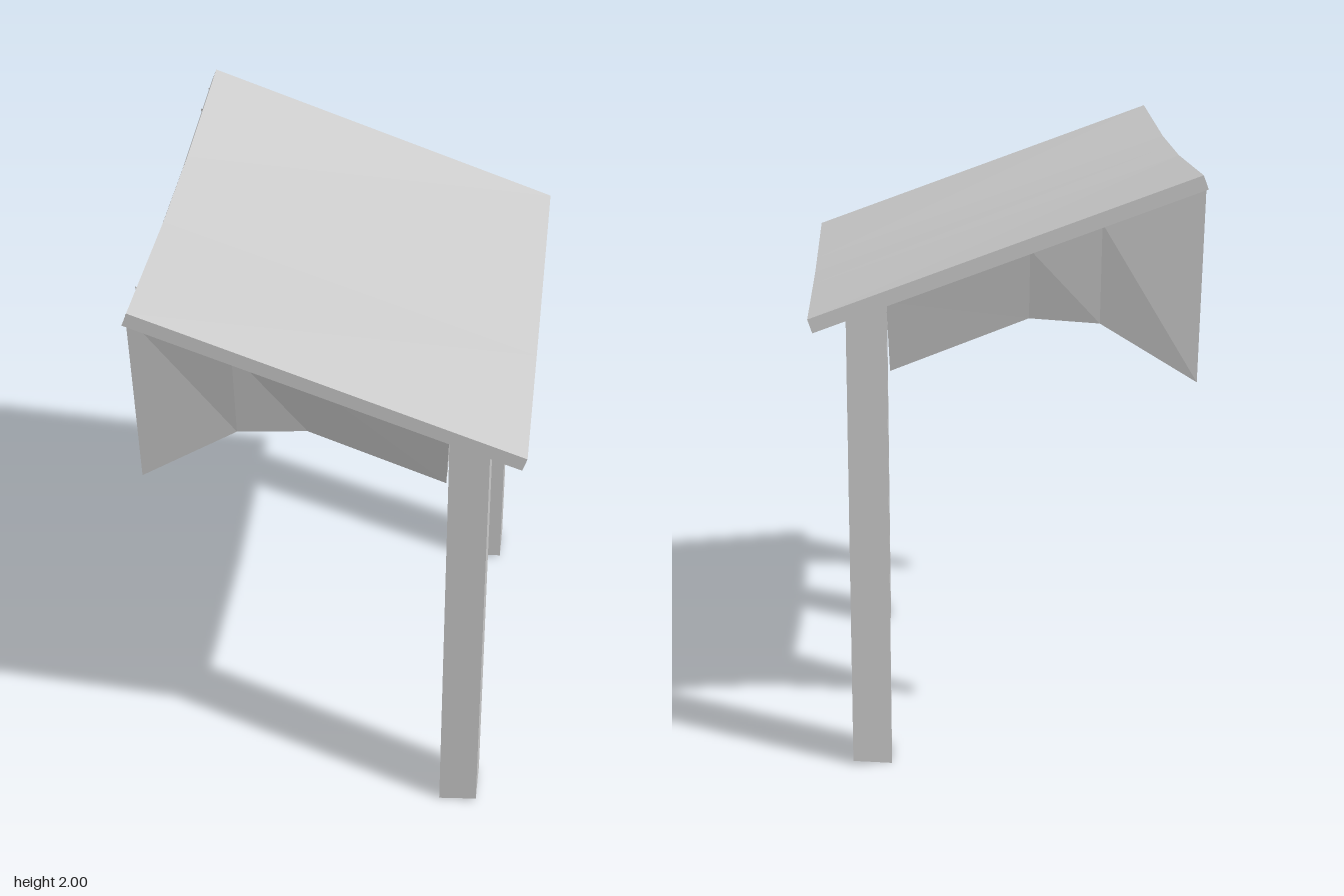
import * as THREE from 'three';

// Skins a row of cross-sections with flat quads; each section runs counter-clockwise
// as seen looking back along the row.
function loft(rings, { closed = true, caps = false } = {}) {
  const pos = [];
  const quad = (a, b, c, d) => pos.push(...a, ...b, ...c, ...a, ...c, ...d);
  for (let i = 0; i < rings.length - 1; i++) {
    const a = rings[i], b = rings[i + 1], n = a.length;
    for (let j = 0; j < (closed ? n : n - 1); j++) {
      const k = (j + 1) % n;
      quad(a[j], a[k], b[k], b[j]);
    }
  }
  if (caps) {
    quad(...[...rings[0]].reverse());
    quad(...rings[rings.length - 1]);
  }
  const geo = new THREE.BufferGeometry();
  geo.setAttribute('position', new THREE.Float32BufferAttribute(pos, 3));
  geo.computeVertexNormals();
  return geo;
}

export function createModel() {
  const model = new THREE.Group();
  const solid = new THREE.MeshStandardMaterial({ color: 0xcccccc, flatShading: true });
  const shell = new THREE.MeshStandardMaterial({ color: 0xcccccc, flatShading: true, side: THREE.DoubleSide });
  const add = (name, geo, mat, z = 0) => {
    const mesh = new THREE.Mesh(geo, mat);
    mesh.name = name;
    mesh.position.z = z;
    model.add(mesh);
  };

  // Sloping roof slab: [z, sag at high edge, sag at low edge]
  const stations = [[-0.85, 0, 0], [-0.23, 0.03, 0.015], [0, 0.03, 0.02], [0.23, 0.03, 0.015], [0.85, 0, 0]];
  add('roof', loft(stations.map(([z, high, low]) => [
    [-0.637, 1.955 - high, z], [0.615, 1.505 - low, z],
    [0.63, 1.55 - low, z], [-0.62, 2 - high, z],
  ]), { caps: true }), solid);

  // Post: open-ended square tube, top cut to the roof slope
  const postRing = (yLeft, yRight) => [
    [0.38, yLeft, 0.083], [0.51, yRight, 0.083], [0.51, yRight, -0.083], [0.38, yLeft, -0.083],
  ];
  const post = loft([postRing(0, 0.01), postRing(1.585, 1.54)]);

  // Bracket: hollow trough tapering to a narrow bottom edge; [top x, bottom x, bottom y]
  const topY = (x) => 1.955 - (x + 0.637) * 0.36;
  const bracketRows = [[-0.639, -0.63, 1.3], [-0.31, -0.31, 1.5], [-0.08, -0.08, 1.52], [0.38, 0.37, 1.35]];
  const bracket = loft(bracketRows.map(([xt, xb, yb]) => [
    [xt, topY(xt), 0.083], [xb, yb, 0.03], [xb, yb, -0.03], [xt, topY(xt), -0.083],
  ]), { closed: false });

  for (const [side, z] of [['front', 0.702], ['back', -0.702]]) {
    add(side + 'Post', post, shell, z);
    add(side + 'Bracket', bracket, shell, z);
  }
  return model;
}
